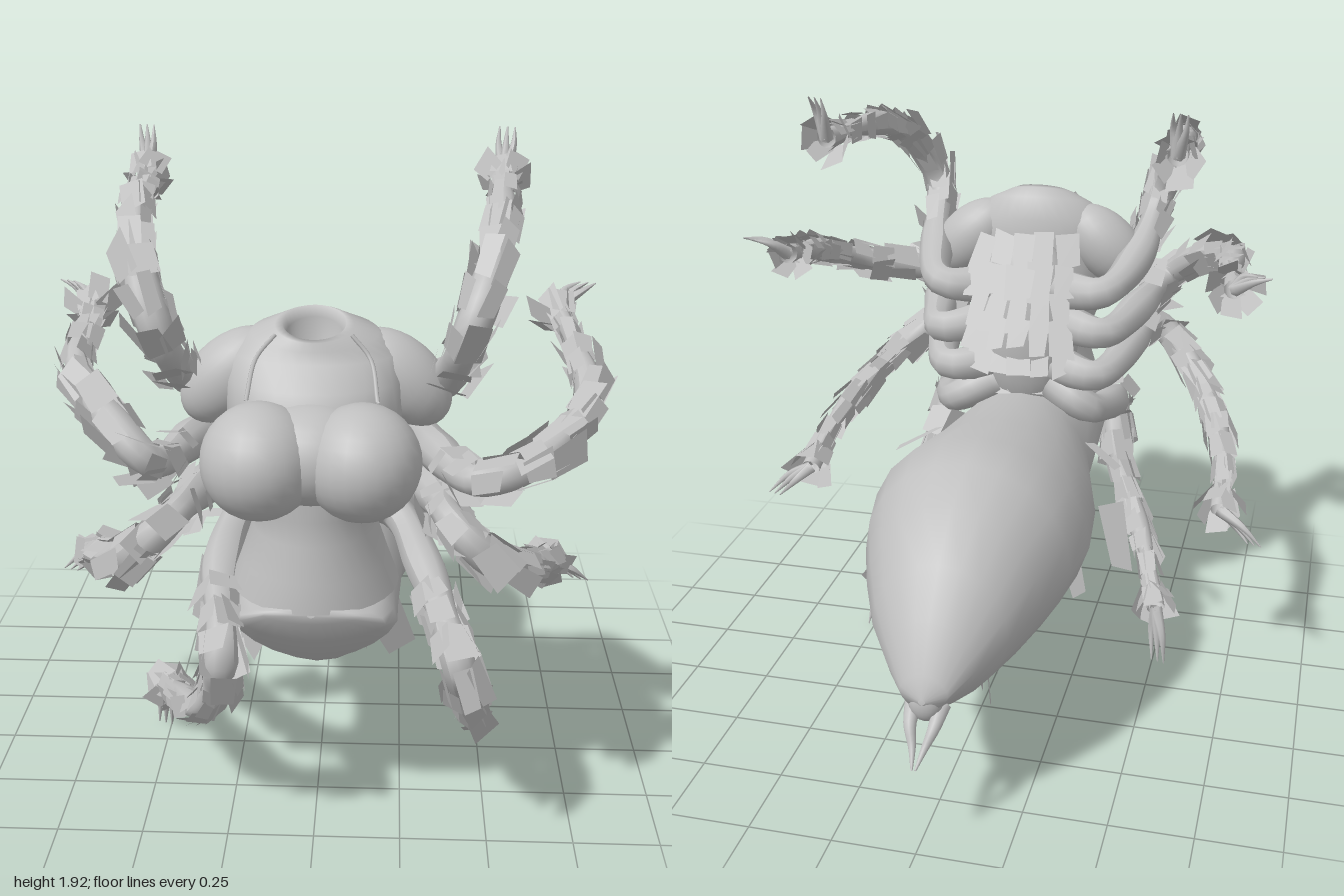
import * as THREE from 'three';
import { mergeGeometries } from 'three/addons/utils/BufferGeometryUtils.js';

const V = (x, y, z) => new THREE.Vector3(x, y, z);
let seed = 7;
const rand = (a = 0, b = 1) => {
  seed = (seed * 16807) % 2147483647;
  return a + (b - a) * (seed / 2147483647);
};

// Skin a series of closed rings; point(ring, angle) gives each vertex
function loft(rings, n, point) {
  const pos = [], idx = [];
  rings.forEach((r) => {
    for (let j = 0; j < n; j++) pos.push(...point(r, (j / n) * Math.PI * 2).toArray());
  });
  for (let i = 0; i < rings.length - 1; i++) {
    for (let j = 0; j < n; j++) {
      const a = i * n + j, b = i * n + (j + 1) % n;
      idx.push(a, b, a + n, b, b + n, a + n);
    }
  }
  const g = new THREE.BufferGeometry();
  g.setAttribute('position', new THREE.Float32BufferAttribute(pos, 3));
  g.setIndex(idx);
  g.computeVertexNormals();
  return g;
}

// Tube whose radius follows a rule along its length
function taperTube(points, segs, sides, radius) {
  const curve = new THREE.CatmullRomCurve3(points);
  const g = new THREE.TubeGeometry(curve, segs, 1, sides);
  const p = g.attributes.position, v = V(0, 0, 0);
  for (let i = 0; i < p.count; i++) {
    const t = Math.floor(i / (sides + 1)) / segs, c = curve.getPointAt(t);
    v.fromBufferAttribute(p, i).sub(c).multiplyScalar(radius(t)).add(c);
    p.setXYZ(i, v.x, v.y, v.z);
  }
  g.computeVertexNormals();
  return g;
}

// Ragged flat plate starting at p, running along dir and facing nrm
function shard(p, dir, nrm, w, l) {
  const y = dir.clone().normalize();
  const x = y.clone().cross(nrm).normalize();
  const z = x.clone().cross(y);
  const g = new THREE.PlaneGeometry(w, l).translate(0, l / 2, 0);
  const a = g.attributes.position;
  for (let i = 0; i < 4; i++) {
    a.setXY(i, a.getX(i) + rand(-0.18, 0.18) * w, a.getY(i) + rand(-0.15, 0.15) * l);
  }
  return g.applyMatrix4(new THREE.Matrix4().makeBasis(x, y, z).setPosition(p));
}

export function createModel() {
  seed = 7;
  const model = new THREE.Group();
  const grey = new THREE.MeshStandardMaterial({ color: 0xc0c0c0, side: THREE.DoubleSide });
  grey.name = 'grey';
  const add = (name, geo, parent = model) => {
    const m = new THREE.Mesh(geo, grey);
    m.name = name;
    parent.add(m);
    return m;
  };
  const ball = (name, c, r) => {
    const m = add(name, new THREE.SphereGeometry(1, 24, 16));
    m.position.set(...c);
    m.scale.set(...r);
    return m;
  };

  // Abdomen: [z, top, bottom, half width], front to back
  const abdomen = [
    [0.845, 0.785, 0.775, 0.01], [0.842, 0.80, 0.755, 0.13], [0.81, 0.80, 0.69, 0.2],
    [0.7, 0.82, 0.575, 0.232],
    [0.55, 0.86, 0.485, 0.235], [0.25, 0.915, 0.395, 0.25], [0, 0.93, 0.35, 0.315],
    [-0.27, 0.985, 0.32, 0.345], [-0.42, 0.96, 0.315, 0.318], [-0.58, 0.90, 0.325, 0.262],
    [-0.72, 0.79, 0.35, 0.2], [-0.82, 0.66, 0.385, 0.13], [-0.89, 0.53, 0.42, 0.07],
    [-0.91, 0.47, 0.45, 0.01],
  ];
  add('abdomen', loft(abdomen, 20, ([z, top, bot, w], a) => {
    const c = Math.cos(a);
    return V(w * Math.sin(a) * (1 + 0.2 * Math.min(c, 0)), (top + bot) / 2 + c * (top - bot) / 2, z);
  }));

  // Torso with open neck: [y, centre z, half width, front depth, back depth]
  const torso = [
    [0.785, 0.60, 0.235, 0.25, 0.22], [0.87, 0.61, 0.205, 0.235, 0.2], [0.97, 0.62, 0.172, 0.205, 0.19],
    [1.04, 0.62, 0.172, 0.205, 0.18], [1.12, 0.62, 0.2, 0.21, 0.18], [1.2, 0.61, 0.225, 0.22, 0.17],
    [1.3, 0.60, 0.24, 0.23, 0.14], [1.38, 0.58, 0.25, 0.2, 0.12], [1.45, 0.58, 0.235, 0.14, 0.11],
    [1.5, 0.60, 0.17, 0.1, 0.1], [1.525, 0.62, 0.105, 0.08, 0.08], [1.53, 0.62, 0.085, 0.065, 0.065],
    [1.5, 0.62, 0.075, 0.055, 0.055], [1.42, 0.62, 0.065, 0.05, 0.05], [1.42, 0.62, 0.005, 0.005, 0.005],
  ];
  add('torso', loft(torso, 32, ([y, z, rx, front, rear], a) => {
    const c = Math.cos(a);
    // collar dips toward the front
    const dip = 0.03 * c * THREE.MathUtils.smoothstep(y, 1.42, 1.5);
    return V(rx * Math.sin(a), y - dip, z + c * (c > 0 ? front : rear));
  }));
  ball('thorax', [0, 1.12, 0.39], [0.18, 0.31, 0.13]);
  ball('chestBridge', [0, 1.225, 0.79], [0.17, 0.135, 0.15]);
  for (const s of [-1, 1]) {
    const chest = ball('chest', [s * 0.133, 1.215, 0.825], [0.155, 0.155, 0.172]);
    chest.rotation.x = -0.15;
    const shoulder = ball('shoulder', [s * 0.23, 1.365, 0.565], [0.165, 0.105, 0.1]);
    shoulder.rotation.z = -s * 0.75;
    add('neckStrap', new THREE.TubeGeometry(new THREE.CatmullRomCurve3([
      V(s * 0.1, 1.51, 0.67), V(s * 0.15, 1.45, 0.69), V(s * 0.17, 1.36, 0.77)]), 10, 0.006, 6));
  }

  // Spinnerets: knob and two hooked prongs
  ball('spinneretBase', [0, 0.44, -0.87], [0.05, 0.06, 0.04]);
  for (const s of [-1, 1]) {
    add('spinneret', taperTube([V(s * 0.04, 0.42, -0.85), V(s * 0.035, 0.385, -0.91),
      V(s * 0.018, 0.34, -0.95), V(s * 0.005, 0.3, -1)], 12, 8, (t) => 0.024 * (1 - t) + 0.003));
  }

  // Legs: joints from body to foot, last point is the claw tip
  const upperLeg = [[0.12, 1.26, 0.36], [0.27, 1.28, 0.3], [0.35, 1.35, 0.52], [0.39, 1.5, 0.72],
    [0.44, 1.63, 0.68], [0.49, 1.76, 0.45], [0.52, 1.8, 0.15], [0.53, 1.81, -0.03], [0.54, 1.94, -0.09]];
  const rightSecond = [[0.12, 1.15, 0.36], [0.27, 1.14, 0.3], [0.35, 1.16, 0.52], [0.42, 1.2, 0.8],
    [0.53, 1.29, 0.74], [0.65, 1.36, 0.55], [0.68, 1.4, 0.25], [0.71, 1.41, 0.02], [0.8, 1.47, -0.04]];
  const leftSecond = [[0.12, 1.14, 0.36], [0.27, 1.12, 0.3], [0.34, 1.13, 0.52], [0.44, 1.16, 0.8],
    [0.6, 1.2, 0.72], [0.74, 1.29, 0.52], [0.73, 1.37, 0.25], [0.7, 1.42, 0.03], [0.8, 1.48, -0.04]];
  const thirdLeg = [[0.1, 1.0, 0.36], [0.25, 0.99, 0.3], [0.33, 1.02, 0.55], [0.38, 1.03, 0.8],
    [0.48, 0.93, 0.79], [0.6, 0.83, 0.6], [0.68, 0.73, 0.35], [0.7, 0.63, 0.13], [0.82, 0.54, 0.08]];
  const rightLower = [[0.1, 0.93, 0.36], [0.22, 0.87, 0.32], [0.27, 0.8, 0.55], [0.24, 0.68, 0.87],
    [0.26, 0.54, 0.79], [0.33, 0.39, 0.66], [0.43, 0.3, 0.42], [0.5, 0.2, 0.2], [0.52, 0.02, 0.15]];
  const leftLower = [[0.1, 0.93, 0.36], [0.22, 0.87, 0.32], [0.31, 0.79, 0.55], [0.39, 0.68, 0.87],
    [0.42, 0.54, 0.79], [0.45, 0.39, 0.66], [0.46, 0.3, 0.42], [0.47, 0.2, 0.2], [0.5, 0.02, 0.15]];

  function leg(name, joints, side) {
    const g = new THREE.Group();
    g.name = name;
    model.add(g);
    const pts = joints.map(([x, y, z]) => V(side * x, y, z));
    const tip = pts.pop(), ankle = pts[pts.length - 1];
    const radius = (t) => 0.06 - 0.035 * t + 0.006 * Math.cos(t * 25);
    add('limb', taperTube(pts, 56, 10, radius), g);

    // Shingled ragged plates around the limb, smaller and flatter toward the foot
    const curve = new THREE.CatmullRomCurve3(pts), plates = [];
    const out = (axis, a) => {
      const u = axis.clone().cross(V(0.3, 0.2, 1).normalize()).normalize();
      return u.applyAxisAngle(axis, a);
    };
    for (let i = 0; i < 12; i++) {
      const t = 0.31 + i * 0.055, p = curve.getPointAt(t), axis = curve.getTangentAt(t);
      const size = 1.3 - 0.6 * t;
      for (let k = 0; k < 5; k++) {
        const n = out(axis, k * 1.257 + rand(-0.5, 0.5));
        const start = p.clone().addScaledVector(n, radius(t) + 0.002);
        const dir = axis.clone().addScaledVector(n, rand(0, 0.3) * (1.2 - t));
        plates.push(shard(start, dir, n, rand(0.045, 0.085) * size, rand(0.08, 0.13)));
      }
    }
    // Flared plates at the foot
    const end = curve.getTangentAt(1);
    for (let k = 0; k < 7; k++) {
      const n = out(end, k * 0.9);
      plates.push(shard(ankle.clone().addScaledVector(end, -0.08).addScaledVector(n, 0.03),
        end.clone().addScaledVector(n, rand(0.25, 0.65)), n, 0.065, rand(0.09, 0.12)));
    }
    add('legPlates', mergeGeometries(plates), g);

    // Foot and split hooked claws
    for (const s of [-1, 0, 1]) {
      const mid = ankle.clone().lerp(tip, 0.5).add(V(s * 0.02, 0.012, s * 0.02));
      add('claw', taperTube([ankle, mid, tip.clone().add(V(s * 0.022, 0, s * 0.008))], 10, 6,
        (t) => 0.02 * (1 - t) + 0.002), g);
    }
  }
  leg('rightUpperLeg', upperLeg, -1);
  leg('leftUpperLeg', upperLeg, 1);
  leg('rightSecondLeg', rightSecond, -1);
  leg('leftSecondLeg', leftSecond, 1);
  leg('rightThirdLeg', thirdLeg, -1);
  leg('leftThirdLeg', thirdLeg, 1);
  leg('rightLowerLeg', rightLower, -1);
  leg('leftLowerLeg', leftLower, 1);

  // Layered plates down the back of the thorax
  const back = [];
  for (let row = 0; row < 6; row++) {
    for (let k = -2; k <= 2; k++) {
      const y = 1.44 - row * 0.085;
      const z = 0.39 - 0.13 * Math.sin((row + 0.6) / 6 * Math.PI) + Math.abs(k) * 0.008;
      back.push(shard(V(k * 0.065, y, z), V(k * 0.08, -1, -0.6), V(k * 0.1, 0.4, -1),
        rand(0.06, 0.08), rand(0.1, 0.14)));
    }
  }
  add('backPlates', mergeGeometries(back));

  // Fringe hanging beneath the abdomen
  const fringe = [];
  for (const s of [-1, 1]) {
    for (let i = 0; i < 11; i++) {
      const z = 0.06 - i * 0.06;
      fringe.push(shard(V(s * rand(0.03, 0.13), rand(0.35, 0.4), z),
        V(s * 0.2, -1, rand(-0.9, 0.1)), V(s, 0.1, rand(-0.6, 0.6)), rand(0.06, 0.1), rand(0.1, 0.14)));
    }
    fringe.push(shard(V(s * 0.34, 0.58, 0.16), V(s * 0.25, -1, -0.2), V(s * 0.5, 0.2, 0.8), 0.14, 0.2));
    fringe.push(shard(V(s * 0.19, 0.47, 0.14), V(s * 0.3, -1, -0.2), V(s * 0.6, 0.2, 0.8), 0.12, 0.2));
    fringe.push(shard(V(s * 0.25, 0.8, 0.2), V(s * 0.8, -0.3, -0.7), V(s * 0.3, 1, 0.1), 0.04, 0.17));
  }
  add('bellyFringe', mergeGeometries(fringe));
  return model;
}
